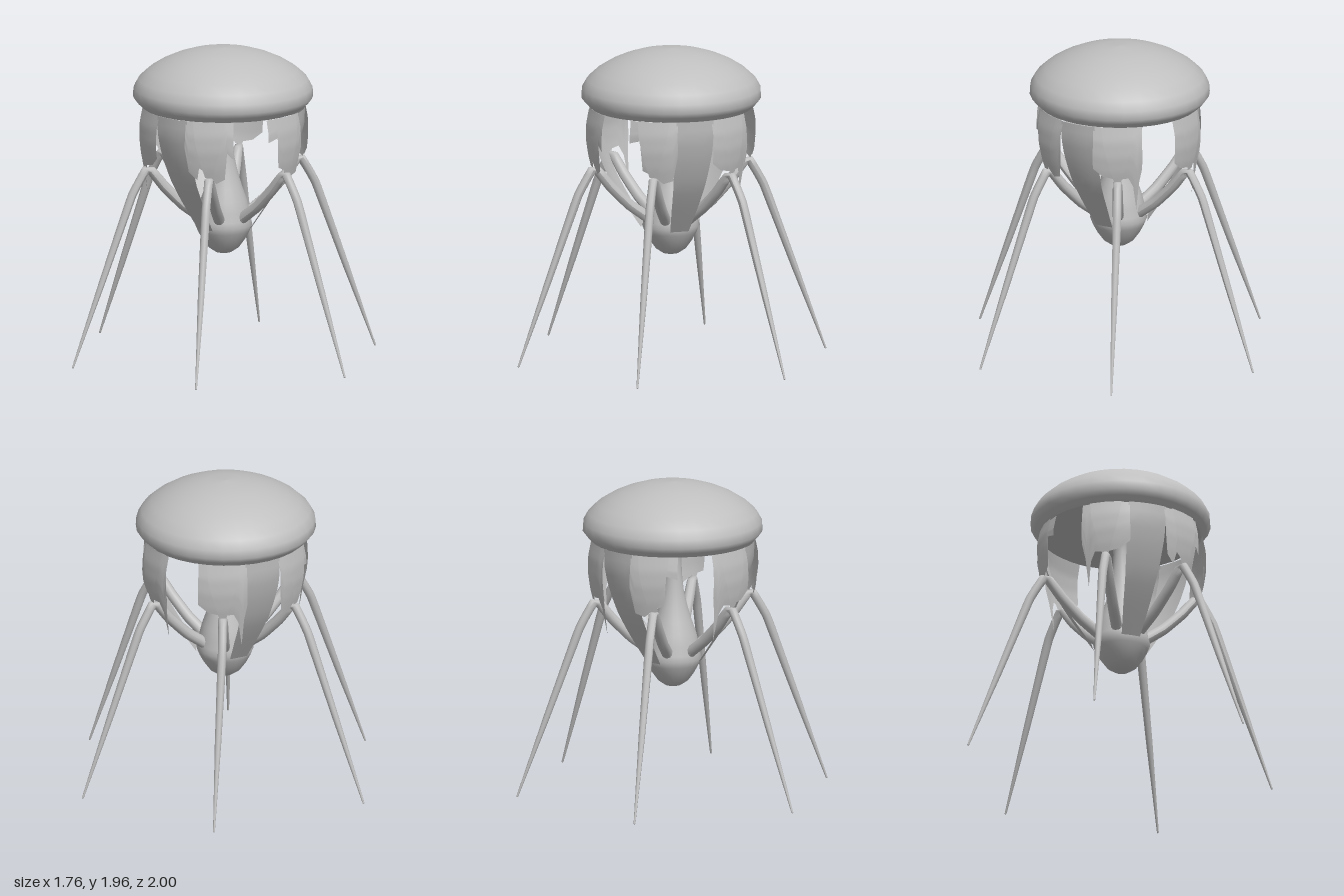
import * as THREE from 'three';

const TOP = 1.59;
const { lerp, degToRad } = THREE.MathUtils;

// linear lookup in a list of [y, value] pairs running downward
function lookup(table, y) {
  for (let i = 1; i < table.length; i++) {
    const [y0, v0] = table[i - 1], [y1, v1] = table[i];
    if (y >= y1) return lerp(v0, v1, Math.max(0, (y0 - y) / (y0 - y1)));
  }
  return table[table.length - 1][1];
}

// curved plate hanging from the cap; columns are [u, bottom height], u from -1 to 1
function sheet(degrees, columns, radius, halfWidth, offset = 0) {
  const a = degToRad(degrees), rows = 14, n = columns.length;
  const pos = [], idx = [];
  for (let j = 0; j <= rows; j++) {
    for (const [u, bottom] of columns) {
      const y = lerp(TOP, bottom, j / rows);
      const w = u * lookup(halfWidth, y);
      const r = lookup(radius, y) + offset - w * w * 0.9;
      pos.push(Math.sin(a) * r + Math.cos(a) * w, y, Math.cos(a) * r - Math.sin(a) * w);
    }
  }
  for (let j = 0; j < rows; j++) {
    for (let i = 0; i < n - 1; i++) {
      const p = j * n + i;
      idx.push(p, p + n, p + 1, p + 1, p + n, p + n + 1);
    }
  }
  const g = new THREE.BufferGeometry();
  g.setAttribute('position', new THREE.Float32BufferAttribute(pos, 3));
  g.setIndex(idx);
  g.computeVertexNormals();
  return g;
}

// tube whose radius follows a list of [t, radius] pairs
function taperedTube(points, radii) {
  const segs = 40, sides = 10;
  const path = new THREE.CatmullRomCurve3(points, false, 'catmullrom', 0.12);
  const g = new THREE.TubeGeometry(path, segs, 1, sides, false);
  const p = g.attributes.position, v = new THREE.Vector3();
  for (let i = 0; i <= segs; i++) {
    const t = i / segs, c = path.getPointAt(t);
    const r = lookup(radii.map(([k, q]) => [-k, q]), -t);
    for (let s = 0; s <= sides; s++) {
      const k = i * (sides + 1) + s;
      v.fromBufferAttribute(p, k).sub(c).multiplyScalar(r).add(c);
      p.setXYZ(k, v.x, v.y, v.z);
    }
  }
  g.computeVertexNormals();
  return g;
}

export function createModel() {
  const model = new THREE.Group();
  const grey = new THREE.MeshStandardMaterial({ color: 0xbfbfbf, side: THREE.DoubleSide });
  grey.name = 'plain grey';
  const add = (name, geometry, parent = model) => {
    const m = new THREE.Mesh(geometry, grey);
    m.name = name;
    parent.add(m);
    return m;
  };
  const lathe = (pts, sides) => new THREE.LatheGeometry(pts.map(([x, y]) => new THREE.Vector2(x, y)), sides);

  // domed cap with a tucked-in rim and a flat underside
  const cap = new THREE.Group();
  cap.name = 'cap';
  cap.position.set(-0.005, 0, -0.005);
  model.add(cap);
  add('capDome', lathe([[0.5, TOP], [0.535, 1.622], [0.56, 1.655], [0.556, 1.71], [0.525, 1.765], [0.465, 1.82],
    [0.39, 1.867], [0.31, 1.903], [0.22, 1.932], [0.12, 1.952], [0, 1.96]], 32), cap);
  const underside = add('capUnderside', new THREE.CircleGeometry(0.5, 32), cap);
  underside.rotation.x = Math.PI / 2;
  underside.position.y = TOP;

  // bulb body drawn up into a slim neck
  add('body', lathe([[0, 0.655], [0.05, 0.665], [0.095, 0.695], [0.135, 0.75], [0.162, 0.8], [0.178, 0.84],
    [0.168, 0.875], [0.16, 0.93], [0.143, 1.0], [0.115, 1.08], [0.088, 1.17], [0.066, 1.27], [0.055, 1.37],
    [0.052, 1.46], [0.062, 1.54], [0.09, TOP]], 24));

  // three long plates sweeping in from the cap to the body
  const longRadius = [[TOP, 0.505], [1.48, 0.5], [1.36, 0.47], [1.25, 0.43], [1.15, 0.385], [1.05, 0.325],
    [0.95, 0.26], [0.83, 0.18]];
  const longWidth = [[TOP, 0.12], [1.4, 0.124], [1.2, 0.108], [1.0, 0.085], [0.83, 0.06]];
  const straight = [-1, -0.5, 0, 0.5, 1].map(u => [u, 0.83]);
  for (const deg of [90, 210, 330]) add('longPlate', sheet(deg, straight, longRadius, longWidth));

  // torn plates above each leg
  const tornRadius = [[TOP, 0.51], [1.5, 0.53], [1.4, 0.535], [1.3, 0.525], [1.2, 0.505], [1.03, 0.48]];
  const tornWidth = [[TOP, 0.15], [1.4, 0.155], [1.2, 0.15], [1.03, 0.145]];
  const tornA = [[-1, 1.42], [-0.85, 1.27], [-0.5, 1.22], [-0.4, 1.3], [0, 1.26], [0.3, 1.2], [0.65, 1.23],
    [0.75, 1.4], [1, 1.36]];
  const tornB = [[-1, 1.45], [-0.55, 1.47], [-0.45, 1.28], [0, 1.25], [0.4, 1.2], [0.8, 1.22], [1, 1.38]];
  const tornC = [[-1, 1.32], [-0.6, 1.27], [0, 1.25], [0.45, 1.26], [0.65, 1.2], [0.8, 1.04], [0.88, 1.22], [1, 1.32]];
  const mirrored = cols => cols.map(([u, b]) => [-u, b]).reverse();

  // narrow webs running from the cap down to each knee
  const webWidth = [[TOP, 0.1], [1.48, 0.088], [1.35, 0.055], [1.24, 0.022]];
  const web = [-1, 0, 1].map(u => [u, 1.24]);

  // six legs: [direction in degrees, foot x, foot z, torn edge]
  const legs = [
    [0, 0.01, 0.995, tornA], [60, 0.855, 0.49, tornB], [120, 0.87, -0.465, tornC],
    [180, 0.04, -0.995, tornC], [240, -0.875, -0.5, mirrored(tornB)], [300, -0.855, 0.525, mirrored(tornC)],
  ];
  for (const [deg, fx, fz, torn] of legs) {
    const leg = new THREE.Group();
    leg.name = 'legAssembly';
    model.add(leg);
    const a = degToRad(deg);
    const at = (r, y) => new THREE.Vector3(Math.sin(a) * r, y, Math.cos(a) * r);
    const foot = new THREE.Vector3(fx, 0.004, fz);
    const shin = at(0.605, 1.06);
    const hip = at(0.155, 0.9);
    add('leg', taperedTube([hip, at(0.27, 0.985), at(0.39, 1.105), at(0.5, 1.235), shin,
      shin.clone().lerp(foot, 0.5), foot],
    [[0, 0.036], [0.2, 0.033], [0.29, 0.027], [0.42, 0.027], [0.7, 0.02], [1, 0.006]]), leg);
    add('hipJoint', new THREE.SphereGeometry(0.036, 12, 8), leg).position.copy(hip);
    add('footTip', new THREE.SphereGeometry(0.006, 8, 6), leg).position.copy(foot).setY(0.006);
    add('tornPlate', sheet(deg, torn, tornRadius, tornWidth, -0.012), leg);
    add('kneeWeb', sheet(deg, web, tornRadius, webWidth), leg);
  }
  return model;
}
